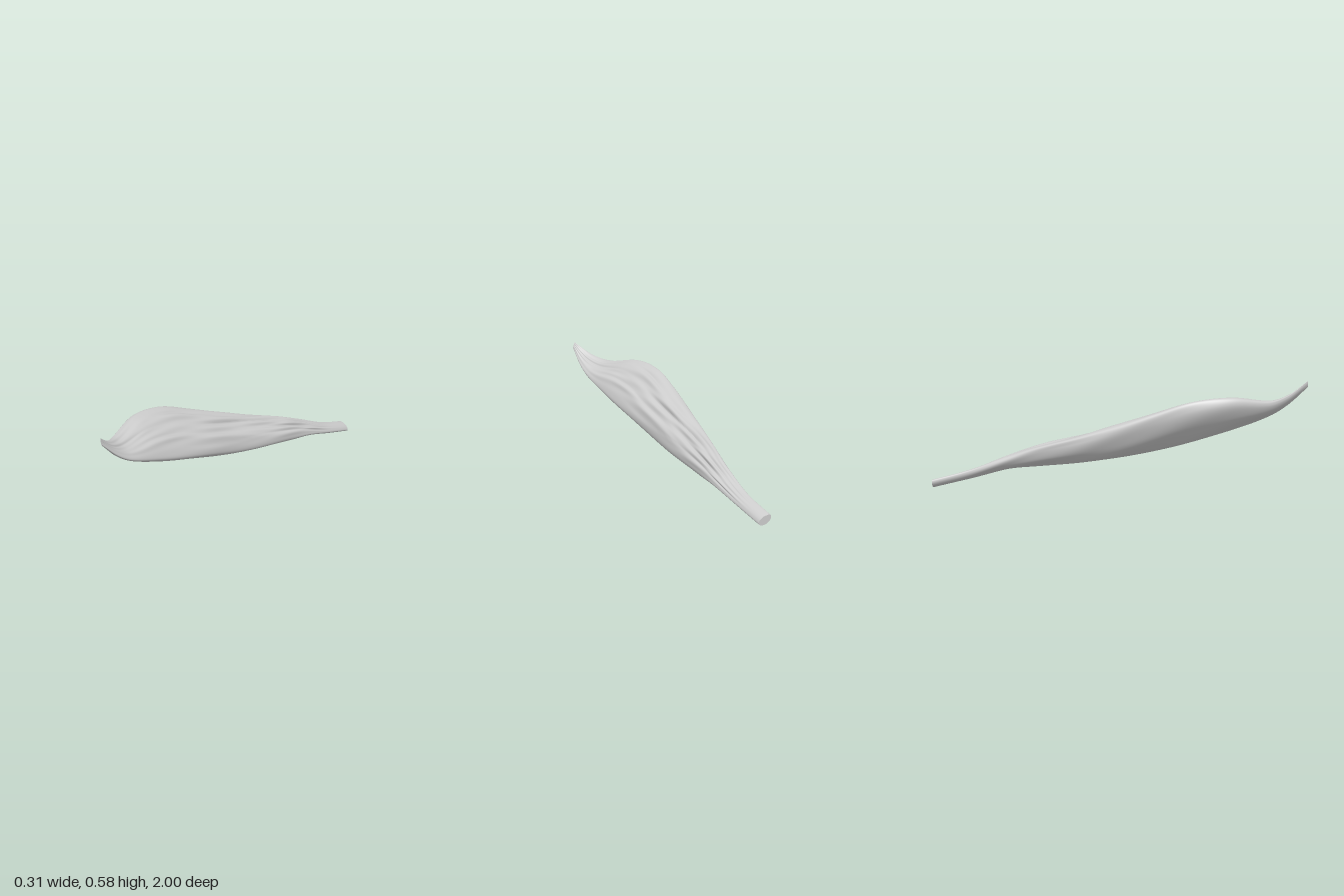
import * as THREE from 'three';

// Blade envelope along its length: z, x range, y range
const STATIONS = [
  [-1.0, -0.13, -0.065, 0.0, 0.048],
  [-0.8, -0.108, -0.037, 0.048, 0.102],
  [-0.6, -0.107, -0.008, 0.098, 0.178],
  [-0.45, -0.115, 0.005, 0.115, 0.232],
  [-0.2, -0.142, 0.018, 0.14, 0.3],
  [0.0, -0.154, 0.033, 0.17, 0.368],
  [0.2, -0.157, 0.057, 0.213, 0.438],
  [0.4, -0.154, 0.08, 0.263, 0.503],
  [0.6, -0.118, 0.107, 0.323, 0.524],
  [0.8, -0.02, 0.135, 0.395, 0.493],
  [0.9, 0.062, 0.148, 0.455, 0.516],
  [1.0, 0.144, 0.157, 0.545, 0.58],
];

// Section in unit coordinates: five points on the rounded back,
// then three across the folded face
const BACK = [[0.06, 1], [0.01, 0.8], [0.16, 0.44], [0.45, 0.16], [0.78, 0], [1, 0.1]];
const FACE = [[0.82, 0.42], [0.58, 0.64], [0.32, 0.87]];
// Tilted oval section for the stalk
const STALK = [[0.06, 1], [0, 0.72], [0.12, 0.38], [0.4, 0.1], [0.78, 0], [1, 0.18],
  [0.93, 0.5], [0.72, 0.78], [0.4, 0.97]];

const RINGS = 160, SIDES = 96;
const { smoothstep, lerp } = THREE.MathUtils;

function envelope(z) {
  let k = 0;
  while (k < STATIONS.length - 2 && z > STATIONS[k + 1][0]) k++;
  const p = STATIONS[k], q = STATIONS[k + 1];
  const before = STATIONS[Math.max(k - 1, 0)];
  const after = STATIONS[Math.min(k + 2, STATIONS.length - 1)];
  const h = q[0] - p[0], t = (z - p[0]) / h;
  return [1, 2, 3, 4].map((c) => {
    const m0 = ((q[c] - before[c]) / (q[0] - before[0])) * h;
    const m1 = ((after[c] - p[c]) / (after[0] - p[0])) * h;
    const t2 = t * t, t3 = t2 * t;
    return (2 * t3 - 3 * t2 + 1) * p[c] + (t3 - 2 * t2 + t) * m0
      + (3 * t2 - 2 * t3) * q[c] + (t3 - t2) * m1;
  });
}

// Section at z: stalk oval opening into the blade, whose face is fuller towards the stalk
function section(z) {
  const [x0, x1, y0, y1] = envelope(z);
  const leaf = smoothstep(z, -0.85, -0.3);
  const full = 0.05 + 0.1 * (1 - smoothstep(z, -0.3, 0.5));
  const blade = [...BACK, ...FACE.map(([x, y]) => [x + full, y + full * 0.8])];
  return new THREE.CatmullRomCurve3(blade.map(([x, y], k) => new THREE.Vector3(
    lerp(x0, x1, lerp(STALK[k][0], x, leaf)),
    lerp(y0, y1, lerp(STALK[k][1], y, leaf)), z)), true);
}

// Broken lengthwise creases on the face, shallow dents on the back
function wrinkle(u, z) {
  const folded = smoothstep(u, 0.58, 0.7) * (1 - smoothstep(u, 0.9, 1));
  const drift = 0.9 * Math.sin(z * 3.1) + 0.4 * Math.sin(z * 7.3 + 1);
  const broken = 0.6 + 0.4 * Math.sin(z * 9 + u * 40);
  const crease = (Math.abs(Math.sin(u * 34 + drift)) - 0.6) * broken;
  const fine = Math.sin(u * 75 + z * 5) * Math.sin(z * 11 + u * 9);
  const dents = Math.sin(u * 25 + z * 3) * Math.sin(z * 8 + u * 6);
  return folded * (0.012 * crease + 0.004 * fine) + (1 - folded) * 0.003 * dents;
}

function bladeGeometry() {
  const positions = [], indices = [];
  for (let i = 0; i <= RINGS; i++) {
    const z = -1 + (2 * i) / RINGS;
    const curve = section(z);
    const fade = smoothstep(z, -0.95, -0.4) * (1 - smoothstep(z, 0.6, 1) * 0.8);
    for (let j = 0; j < SIDES; j++) {
      const u = j / SIDES;
      const p = curve.getPoint(u), t = curve.getTangent(u);
      const d = wrinkle(u, z) * fade;
      positions.push(p.x + t.y * d, p.y - t.x * d, z);
    }
  }
  for (let i = 0; i < RINGS; i++) {
    for (let j = 0; j < SIDES; j++) {
      const a = i * SIDES + j, b = i * SIDES + ((j + 1) % SIDES);
      indices.push(a, b, b + SIDES, a, b + SIDES, a + SIDES);
    }
  }
  // Flat ends: cut stalk and tip
  for (const ring of [0, RINGS]) {
    const first = positions.length / 3;
    let cx = 0, cy = 0;
    for (let j = 0; j < SIDES; j++) {
      const s = (ring * SIDES + j) * 3;
      positions.push(positions[s], positions[s + 1], positions[s + 2]);
      cx += positions[s] / SIDES;
      cy += positions[s + 1] / SIDES;
    }
    positions.push(cx, cy, ring ? 1 : -1);
    for (let j = 0; j < SIDES; j++) {
      const a = first + j, b = first + ((j + 1) % SIDES);
      indices.push(first + SIDES, ring ? a : b, ring ? b : a);
    }
  }
  const geometry = new THREE.BufferGeometry();
  geometry.setAttribute('position', new THREE.Float32BufferAttribute(positions, 3));
  geometry.setIndex(indices);
  geometry.computeVertexNormals();
  return geometry;
}

export function createModel() {
  const group = new THREE.Group();
  group.name = 'driedLeaf';
  const material = new THREE.MeshStandardMaterial({ color: 0xcccccc });
  const blade = new THREE.Mesh(bladeGeometry(), material);
  blade.name = 'leafBladeAndStalk';
  group.add(blade);
  return group;
}
